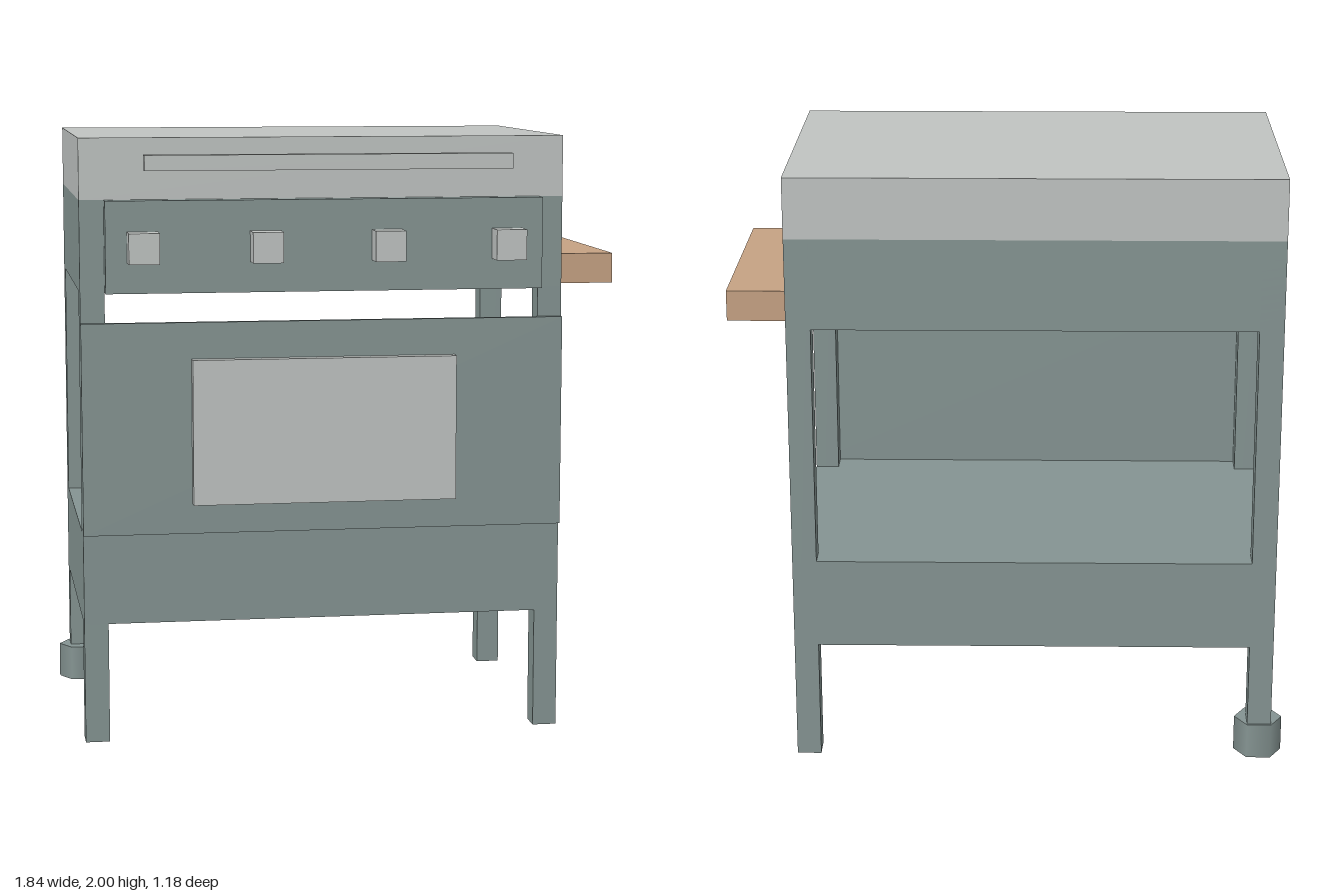
import * as THREE from 'three';

const material = (name, color) => {
  const m = new THREE.MeshStandardMaterial({ color });
  m.name = name;
  return m;
};

export function createModel() {
  const group = new THREE.Group();
  const steel = material('brushedSteel', 0xc0c4c2);
  const frame = material('greyGreenFrame', 0x859492);
  const wood = material('wood', 0xc6a283);

  // Box given by its minimum and maximum on each axis
  const box = (name, mat, [x0, x1], [y0, y1], [z0, z1]) => {
    const mesh = new THREE.Mesh(new THREE.BoxGeometry(x1 - x0, y1 - y0, z1 - z0), mat);
    mesh.position.set((x0 + x1) / 2, (y0 + y1) / 2, (z0 + z1) / 2);
    mesh.name = name;
    group.add(mesh);
  };

  const width = [-0.88, 0.72];
  const depth = [-0.58, 0.42];

  // Lid, firebox and lower shelf
  box('lid', steel, width, [1.8, 2], depth);
  box('firebox', frame, width, [1.5, 1.8], depth);
  box('lowerShelf', frame, width, [0.4, 0.7], depth);

  // Four corner legs
  for (const x of [-0.88, 0.64])
    for (const z of [-0.58, 0.34])
      box('leg', frame, [x, x + 0.08], [0, 1.8], [z, z + 0.08]);

  // Front door with its raised panel
  box('frontDoor', frame, width, [0.7, 1.4], [0.42, 0.44]);
  box('doorPanel', steel, [-0.52, 0.355], [0.8, 1.28], [0.44, 0.48]);

  // Control panel with four knobs
  box('controlPanel', frame, [-0.8, 0.64], [1.5, 1.8], [0.42, 0.48]);
  for (const x of [-0.68, -0.28, 0.12, 0.52])
    box('knob', steel, [x - 0.05, x + 0.05], [1.6, 1.7], [0.48, 0.56]);

  // Lid handle bar and wooden side table
  box('lidHandle', steel, [-0.68, 0.515], [1.9, 1.95], [0.54, 0.59]);
  box('sideTable', wood, [0.72, 0.92], [1.5, 1.6], [-0.48, 0.32]);

  // Six-sided foot around the back right leg
  const foot = new THREE.Mesh(new THREE.CylinderGeometry(0.08, 0.08, 0.12, 6), frame);
  foot.rotation.y = Math.PI / 6;
  foot.position.set(-0.84, 0.06, -0.52);
  foot.name = 'foot';
  group.add(foot);

  return group;
}
